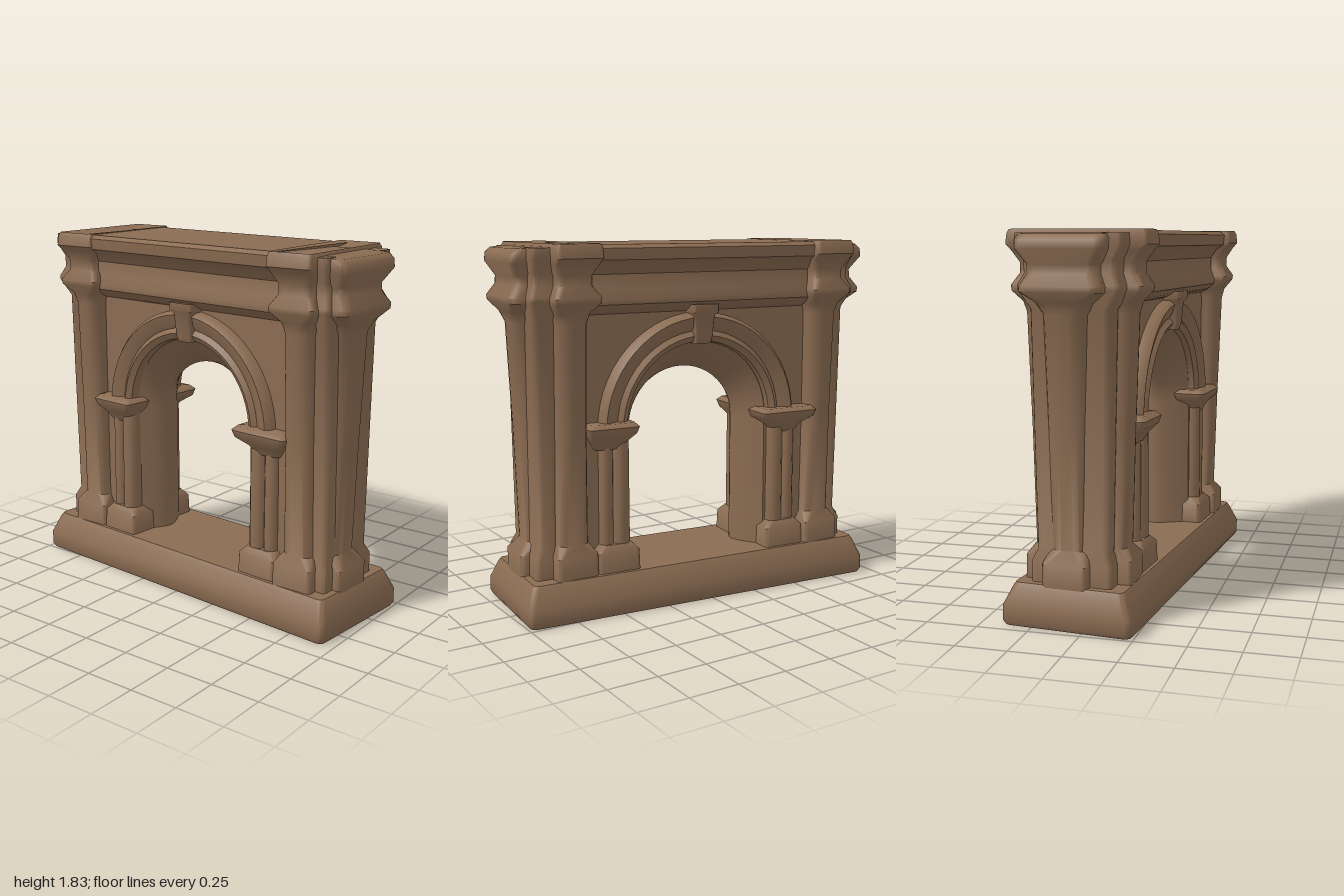
import * as THREE from 'three';
import { toCreasedNormals } from 'three/addons/utils/BufferGeometryUtils.js';

const stone = new THREE.MeshStandardMaterial({ color: 0x8b6c52 });
stone.name = 'brown stone';

function part(name, geometry, crease = 0.8) {
  const mesh = new THREE.Mesh(toCreasedNormals(geometry, crease), stone);
  mesh.name = name;
  return mesh;
}

function indexed(positions, index) {
  const g = new THREE.BufferGeometry();
  g.setAttribute('position', new THREE.Float32BufferAttribute(positions, 3));
  g.setIndex(index);
  return g;
}

// Rounded rectangles stacked along y; levels are [y, halfWidth, halfDepth, rounding 0..1]
function loft(levels, cx = 0, cz = 0) {
  const steps = 4, n = 4 * (steps + 1), pos = [], idx = [];
  for (const [y, hw, hd, k = 0.1] of levels) {
    const r = Math.min(hw, hd) * k;
    for (let c = 0; c < 4; c++) {
      const sx = c === 0 || c === 3 ? 1 : -1, sz = c < 2 ? 1 : -1;
      for (let i = 0; i <= steps; i++) {
        const a = (c + i / steps) * Math.PI / 2;
        pos.push(cx + sx * (hw - r) + r * Math.cos(a), y, cz + sz * (hd - r) + r * Math.sin(a));
      }
    }
  }
  const last = (levels.length - 1) * n, bottom = levels.length * n, top = bottom + 1;
  pos.push(cx, levels[0][0], cz, cx, levels[levels.length - 1][0], cz);
  for (let i = 0; i < n; i++) {
    const j = (i + 1) % n;
    for (let l = 0; l < last; l += n) {
      idx.push(l + i, l + n + i, l + j, l + j, l + n + i, l + n + j);
    }
    idx.push(bottom, i, j, top, last + j, last + i);
  }
  return indexed(pos, idx);
}

// Splayed passage lining, narrowest in the middle of the wall
function passageLining(depth) {
  const arc = 24, rows = 12, pos = [], idx = [], cols = arc + 3;
  for (let v = 0; v <= rows; v++) {
    const z = -depth + 2 * depth * v / rows, s = Math.abs(z) / depth;
    const r = 0.312 + 0.098 * s ** 1.5, cy = 0.87 + 0.05 * s;
    pos.push(r, 0.19, z);
    for (let i = 0; i <= arc; i++) {
      const a = Math.PI * i / arc;
      pos.push(r * Math.cos(a), cy + r * Math.sin(a), z);
    }
    pos.push(-r, 0.19, z);
  }
  for (let v = 0; v < rows; v++) {
    for (let u = 0; u < cols - 1; u++) {
      const p = v * cols + u;
      idx.push(p, p + cols, p + 1, p + 1, p + cols, p + cols + 1);
    }
  }
  return indexed(pos, idx);
}

// Wall with an arched notch
function archWall(depth) {
  const s = new THREE.Shape();
  s.moveTo(-0.83, 0.19);
  s.lineTo(-0.41, 0.19);
  s.lineTo(-0.41, 0.92);
  s.absarc(0, 0.92, 0.41, Math.PI, 0, true);
  s.lineTo(0.41, 0.19);
  s.lineTo(0.83, 0.19);
  s.lineTo(0.83, 1.6);
  s.lineTo(-0.83, 1.6);
  return new THREE.ExtrudeGeometry(s, { depth: 2 * depth, bevelEnabled: false, curveSegments: 24 })
    .translate(0, 0, -depth);
}

// Moulded half ring around the opening
function archMoulding() {
  const section = [[0.4, 0.14], [0.41, 0.2], [0.44, 0.22], [0.465, 0.2], [0.49, 0.215],
    [0.535, 0.23], [0.555, 0.205], [0.56, 0.14]];
  return new THREE.LatheGeometry(section.map(([r, z]) => new THREE.Vector2(r, -z)), 28, -Math.PI / 2, Math.PI)
    .rotateX(-Math.PI / 2).translate(0.008, 0.92, 0);
}

export function createModel() {
  const model = new THREE.Group();
  model.name = 'archway';
  const arch = new THREE.Group();
  arch.name = 'turnedArch';
  const turnAngle = 0.083;
  arch.rotation.y = -turnAngle;
  model.add(arch);
  const depth = 0.17;

  arch.add(part('base', loft([
    [0, 0.965, 0.312], [0.02, 0.975, 0.322], [0.09, 0.975, 0.322],
    [0.185, 0.94, 0.278], [0.2, 0.93, 0.268]])));
  arch.add(part('wall', archWall(depth)));
  arch.add(part('passage', passageLining(depth), 0.9));
  arch.add(part('entablature', loft([
    [1.485, 0.64, 0.175], [1.505, 0.64, 0.215], [1.535, 0.64, 0.252], [1.56, 0.64, 0.256],
    [1.61, 0.64, 0.234], [1.68, 0.64, 0.232], [1.73, 0.64, 0.27], [1.75, 0.64, 0.305],
    [1.805, 0.64, 0.312], [1.823, 0.64, 0.288]]), 0.6));

  for (const side of [-1, 1]) {
    // Paired front and back columns with shared capitals, set square to the front, dished on top
    const column = part('column', loft([
      [0.19, 0.112, 0.262, 0.2], [0.31, 0.11, 0.26, 0.2], [0.36, 0.085, 0.228, 0.7],
      [0.9, 0.08, 0.245, 0.8], [1.45, 0.08, 0.265, 0.8], [1.5, 0.09, 0.276, 0.6],
      [1.55, 0.123, 0.31, 0.2], [1.575, 0.124, 0.314, 0.2], [1.63, 0.094, 0.283, 0.4],
      [1.68, 0.094, 0.284, 0.4], [1.735, 0.115, 0.315, 0.2], [1.76, 0.122, 0.336, 0.15],
      [1.81, 0.12, 0.33, 0.15], [1.828, 0.112, 0.32, 0.15], [1.818, 0.09, 0.27, 0.3],
      [1.808, 0.05, 0.2, 0.3]]));
    column.position.x = side * 0.714;
    column.rotation.y = turnAngle;
    arch.add(column);

    // Pilaster on the end wall
    const inner = 0.72;
    const end = [
      [0.19, 0.937, 0.115, 0.25], [0.3, 0.937, 0.115, 0.25], [0.36, 0.89, 0.1, 0.7],
      [0.9, 0.908, 0.105, 0.7], [1.45, 0.932, 0.115, 0.7], [1.5, 0.95, 0.14, 0.5],
      [1.55, 0.983, 0.2, 0.25], [1.575, 0.985, 0.202, 0.25], [1.63, 0.95, 0.175, 0.3],
      [1.67, 0.947, 0.175, 0.3], [1.74, 0.985, 0.215, 0.2], [1.78, 0.978, 0.22, 0.2],
      [1.805, 0.955, 0.21, 0.2], [1.812, 0.89, 0.18, 0.2]];
    arch.add(part('endPilaster', loft(end.map(([y, x, d, k]) => [y, x - inner, d, k]),
      side * inner, side * 0.018)));

    // Corner infill between the columns and the end pilaster
    arch.add(part('cornerPier', loft([
      [0.19, 0.07, 0.2, 0.3], [0.3, 0.07, 0.2, 0.3], [0.35, 0.05, 0.18, 0.6],
      [1.47, 0.06, 0.2, 0.6], [1.56, 0.085, 0.25, 0.3], [1.58, 0.085, 0.25, 0.3],
      [1.63, 0.065, 0.225, 0.4], [1.69, 0.065, 0.227, 0.4], [1.76, 0.085, 0.265, 0.3],
      [1.81, 0.08, 0.26, 0.3]], side * 0.825)));
  }

  // Details repeated on both faces
  for (const turn of [0, Math.PI]) {
    const face = new THREE.Group();
    face.name = turn ? 'backFace' : 'frontFace';
    face.rotation.y = turn;
    arch.add(face);
    face.add(part('archMoulding', archMoulding()));

    // Keystone with a projecting cap
    face.add(part('keystone', loft([
      [1.32, 0.045, 0.06, 0.2], [1.35, 0.048, 0.07, 0.2], [1.46, 0.056, 0.08, 0.2],
      [1.48, 0.074, 0.095, 0.2], [1.52, 0.074, 0.095, 0.2]], 0.012, 0.165)));

    // Jamb piers, with the wider impost on the left
    for (const [side, x, impostX, impostWidth] of [[-1, -0.47, -0.495, 0.135], [1, 0.505, 0.52, 0.165]]) {
      face.add(part('jambBase', loft([
        [0.19, 0.118, 0.13, 0.2], [0.3, 0.115, 0.125, 0.2], [0.335, 0.085, 0.1, 0.4]], x, 0.12)));
      face.add(part('jambPilaster', loft([
        [0.3, 0.08, 0.075, 0.3], [0.88, 0.078, 0.075, 0.3]], x, 0.11)));
      for (const [dx, r] of [[-0.035, 0.045], [0.045, 0.036]]) {
        const shaft = new THREE.CylinderGeometry(r, r * 1.05, 0.6, 12);
        shaft.translate(x + side * dx, 0.59, 0.175);
        face.add(part('jambShaft', shaft));
      }
      face.add(part('impost', loft([
        [0.82, 0.08, 0.085, 0.5], [0.86, 0.1, 0.105, 0.4], [0.9, impostWidth - 0.01, 0.142, 0.2],
        [0.935, impostWidth, 0.15, 0.15], [0.955, impostWidth - 0.02, 0.13, 0.2]], impostX, 0.12)));
    }
  }
  return model;
}
